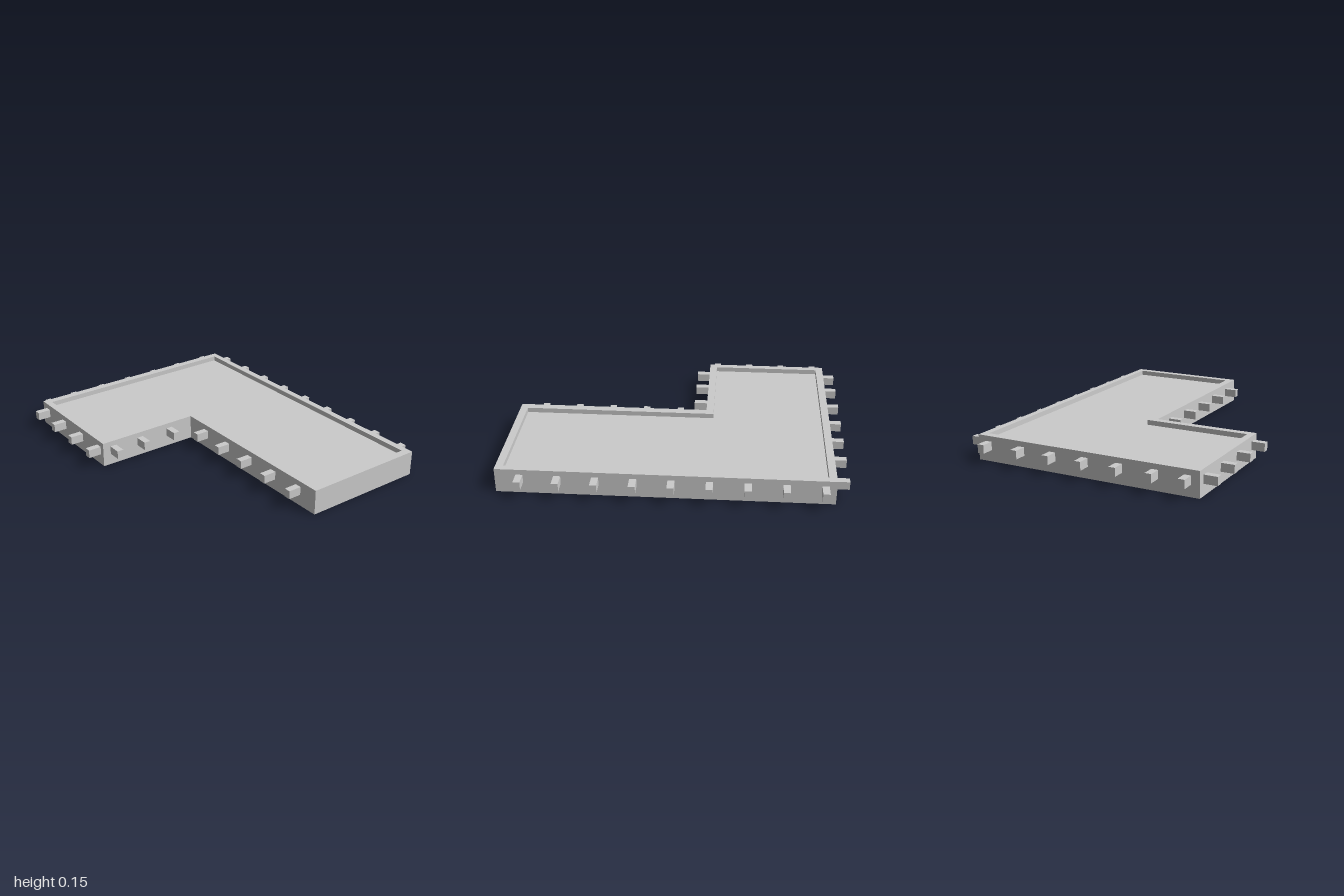
import * as THREE from 'three';

const material = new THREE.MeshStandardMaterial({ color: 0xcccccc, flatShading: true });

// L-shaped plan outlines as [x, z]
const OUTER = [[-0.7, -0.925], [0.7, -0.925], [0.7, 1], [-0.06, 1], [-0.06, -0.167], [-0.7, -0.167]];
const INNER = [[-0.66, -0.88], [0.66, -0.88], [0.66, 0.955], [-0.012, 0.955], [-0.012, -0.212], [-0.66, -0.212]];

const toPoints = (outline) => outline.map(([x, z]) => new THREE.Vector2(x, z));

// Extrude a plan shape vertically between two heights
function plate(name, shape, bottom, top) {
  const geometry = new THREE.ExtrudeGeometry(shape, { depth: top - bottom, bevelEnabled: false });
  geometry.rotateX(Math.PI / 2);
  geometry.translate(0, top, 0);
  const mesh = new THREE.Mesh(geometry, material);
  mesh.name = name;
  return mesh;
}

// Straight beam spanning x0..x1 and z0..z1
function beam(name, x0, x1, z0, z1) {
  const mesh = new THREE.Mesh(new THREE.BoxGeometry(x1 - x0, 0.05, z1 - z0), material);
  mesh.position.set((x0 + x1) / 2, 0.093, (z0 + z1) / 2);
  mesh.name = name;
  return mesh;
}

export function createModel() {
  const model = new THREE.Group();
  model.name = 'terraceDeck';

  // Rim wall around the deck, open below
  const rim = new THREE.Shape(toPoints(OUTER));
  rim.holes.push(new THREE.Path(toPoints(INNER)));
  model.add(plate('rimWall', rim, 0, 0.15));

  // Floor slab, slightly sunk inside the rim
  model.add(plate('floorSlab', new THREE.Shape(toPoints(INNER)), 0.11, 0.12));

  const half = 0.02;

  // Cross beams along x, shorter in the narrow front arm
  const crossBeams = new THREE.Group();
  crossBeams.name = 'crossBeams';
  for (let i = -4; i <= 4; i++) {
    const z = i * 0.215 - 0.002;
    crossBeams.add(beam('crossBeam', i < 0 ? -0.78 : -0.14, 0.78, z - half, z + half));
  }
  model.add(crossBeams);

  // Beams along z under the wide back part
  const longBeams = new THREE.Group();
  longBeams.name = 'longBeams';
  for (const x of [-0.63, -0.44, -0.225, -0.012, 0.197, 0.405, 0.63]) {
    longBeams.add(beam('longBeam', x - half, x + half, -1, -0.085));
  }
  model.add(longBeams);

  return model;
}
